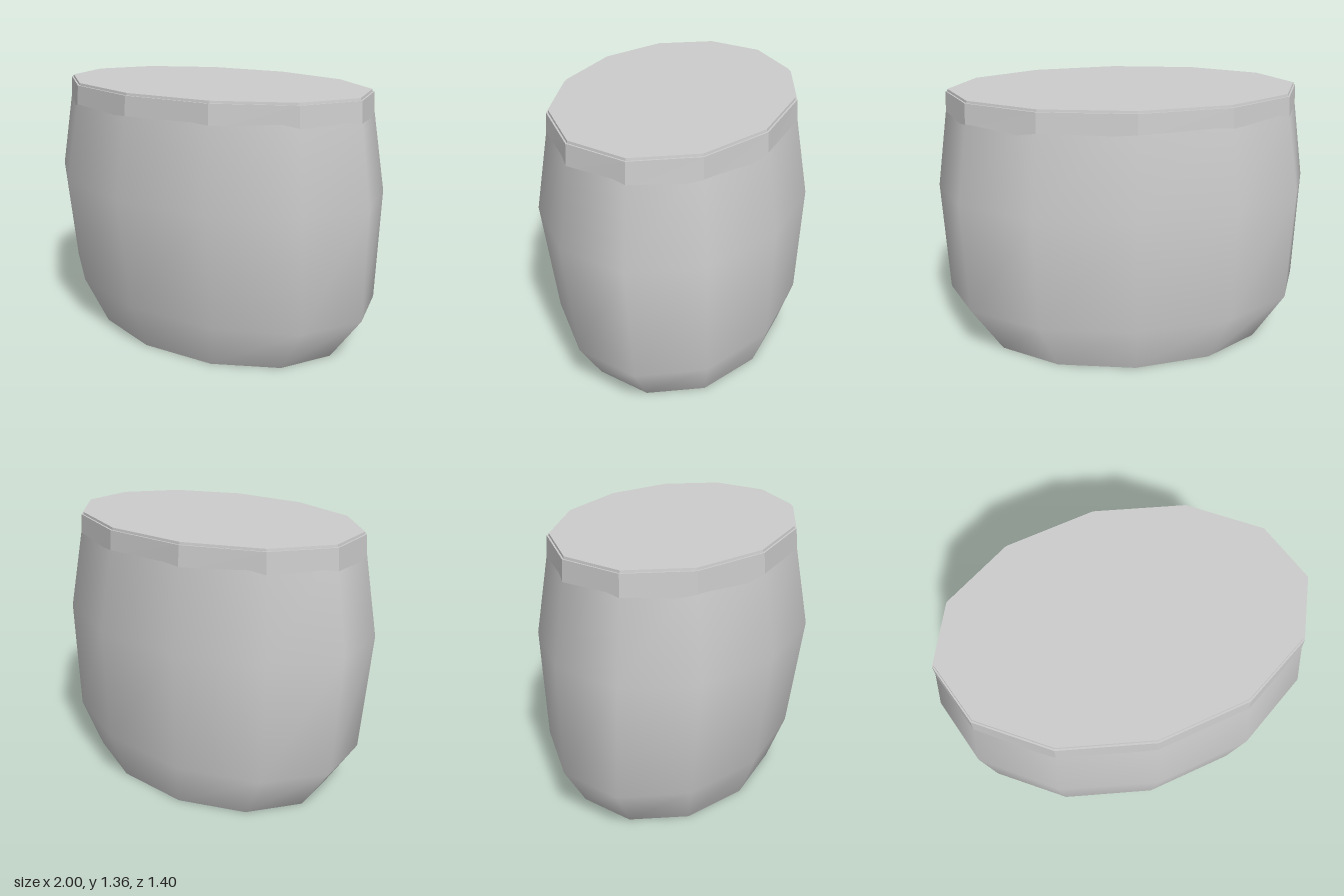
import * as THREE from 'three';

const SIDES = 12;

// Stack of elliptical rings [y, radiusX, radiusZ, centreZ] joined into an open wall
function wall(rings, flat) {
  const pos = [], index = [];
  for (const [y, rx, rz, cz] of rings) {
    for (let i = 0; i < SIDES; i++) {
      const a = (i / SIDES) * Math.PI * 2;
      pos.push(rx * Math.cos(a), y, cz - rz * Math.sin(a));
    }
  }
  for (let r = 0; r < rings.length - 1; r++) {
    for (let i = 0; i < SIDES; i++) {
      const j = (i + 1) % SIDES;
      const a = r * SIDES + i, b = r * SIDES + j;
      index.push(a, b, b + SIDES, a, b + SIDES, a + SIDES);
    }
  }
  let g = new THREE.BufferGeometry();
  g.setAttribute('position', new THREE.Float32BufferAttribute(pos, 3));
  g.setIndex(index);
  if (flat) g = g.toNonIndexed();
  g.computeVertexNormals();
  return g;
}

// Flat elliptical cap, facing up or down
function cap([y, rx, rz, cz], up) {
  const g = new THREE.CircleGeometry(1, SIDES);
  g.rotateX(up ? -Math.PI / 2 : Math.PI / 2);
  g.scale(rx, 1, rz);
  g.translate(0, y, cz);
  return g;
}

export function createModel() {
  const group = new THREE.Group();
  group.name = 'barrel';
  const grey = new THREE.MeshStandardMaterial({ color: 0xcccccc });
  grey.name = 'light grey';

  const add = (name, geometry) => {
    const mesh = new THREE.Mesh(geometry, grey);
    mesh.name = name;
    group.add(mesh);
  };

  // Bulging body, its foot set slightly towards the back
  const body = [
    [0, 0.795, 0.557, -0.033],
    [0.25, 0.975, 0.648, -0.027],
    [0.84, 1.0, 0.7, 0],
    [1.345, 0.92, 0.612, 0],
  ];
  add('body', wall(body, false));
  add('base', cap(body[0], false));

  // Faceted band around the top, its lower edge sunk into the body
  const band = [
    [1.22, 0.938, 0.631, 0],
    [1.345, 0.93, 0.622, 0],
  ];
  add('band', wall(band, true));

  // Narrow step from the band up to the lid
  const lid = [1.357, 0.92, 0.611, 0];
  add('bandTop', wall([band[1], [1.345, 0.922, 0.613, 0]], true));
  add('lidEdge', wall([[1.345, 0.922, 0.613, 0], lid], true));
  add('lid', cap(lid, true));

  return group;
}
